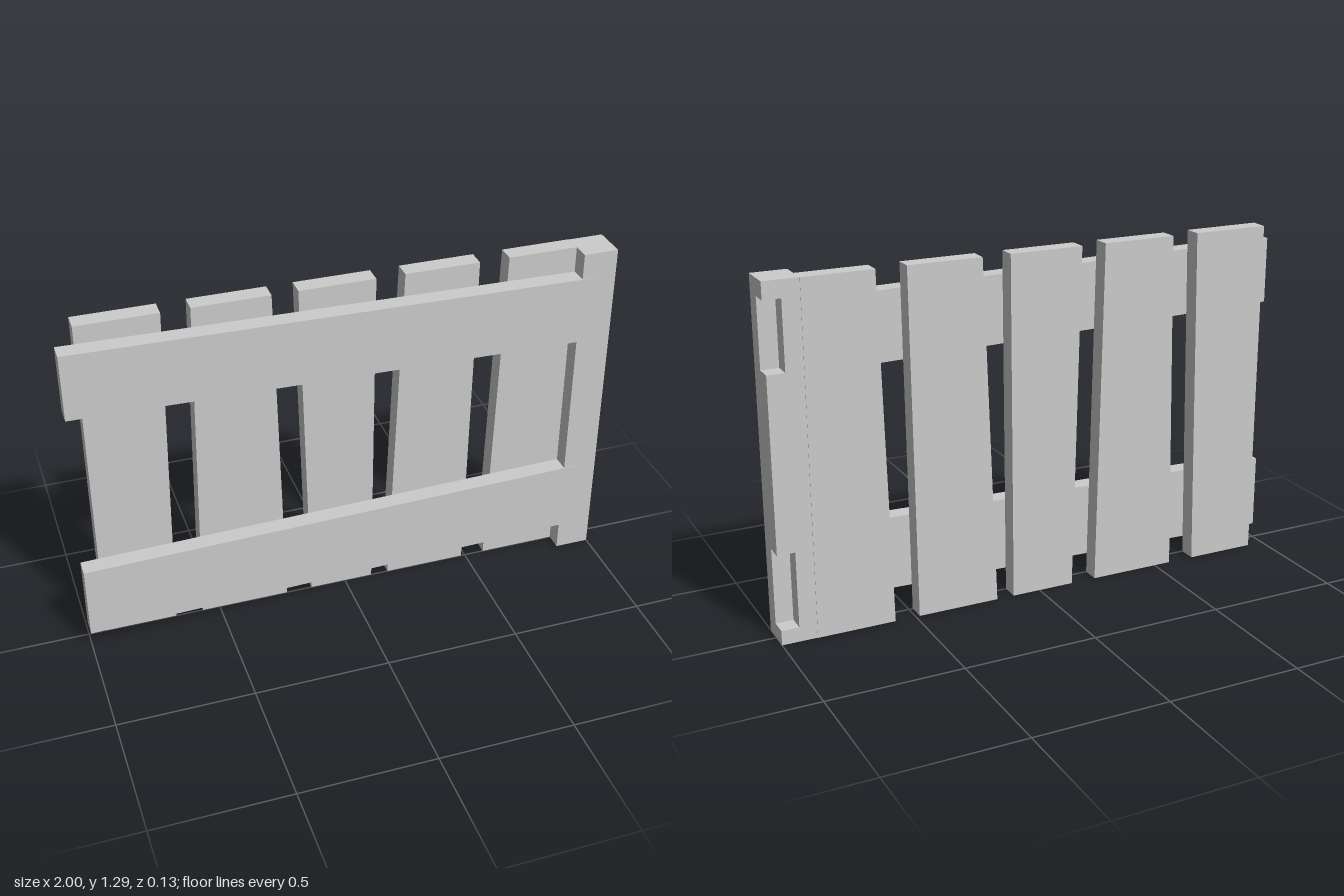
import * as THREE from 'three';

const HEIGHT = 1.295;
const THICK = 0.067;

export function createModel() {
  const fence = new THREE.Group();
  fence.name = 'fenceSection';
  const material = new THREE.MeshStandardMaterial({ color: 0xcccccc, flatShading: true });

  const extrude = (points, depth) => new THREE.ExtrudeGeometry(
    new THREE.Shape(points.map(([x, y]) => new THREE.Vector2(x, y))),
    { depth, bevelEnabled: false });

  const add = (name, geometry, parent = fence) => {
    const mesh = new THREE.Mesh(geometry, material);
    mesh.name = name;
    parent.add(mesh);
  };

  // Back planks, slightly uneven: bottom left, bottom right, top right, top left
  [
    [-0.935, -0.668, -0.642, -0.935],
    [-0.566, -0.234, -0.26, -0.54],
    [-0.136, 0.108, 0.114, -0.166],
    [0.175, 0.485, 0.498, 0.22],
    [0.578, 0.87, 0.87, 0.61],
  ].forEach(([bl, br, tr, tl], i) => {
    const plank = extrude([[bl, 0], [br, 0], [tr, HEIGHT], [tl, HEIGHT]], THICK);
    add(`plank${i + 1}`, plank.translate(0, 0, -THICK));
  });

  // Tapering front rails, let into the post
  add('upperRail', extrude([[-1, 0.982], [0.93, 0.941], [0.93, 1.197], [-1, 1.23]], THICK));
  add('lowerRail', extrude([[-1, 0.057], [0.93, 0.11], [0.93, 0.382], [-1, 0.337]], THICK));

  // Post: a solid inner half and an outer half with sockets for the next section's rails
  const post = new THREE.Group();
  post.name = 'post';
  fence.add(post);
  const half = 0.065;
  add('postInner', new THREE.BoxGeometry(half, HEIGHT, 2 * half)
    .translate(0.9025, HEIGHT / 2, 0), post);

  const profile = [[-half, 0], [half, 0]];
  for (const [low, high] of [[0.055, 0.338], [0.98, 1.232]]) {
    profile.push([half, low], [0, low], [0, high], [half, high]);
  }
  profile.push([half, HEIGHT], [-half, HEIGHT]);
  add('postNotched', extrude(profile, half)
    .rotateY(Math.PI / 2).translate(0.935, 0, 0), post);

  return fence;
}
